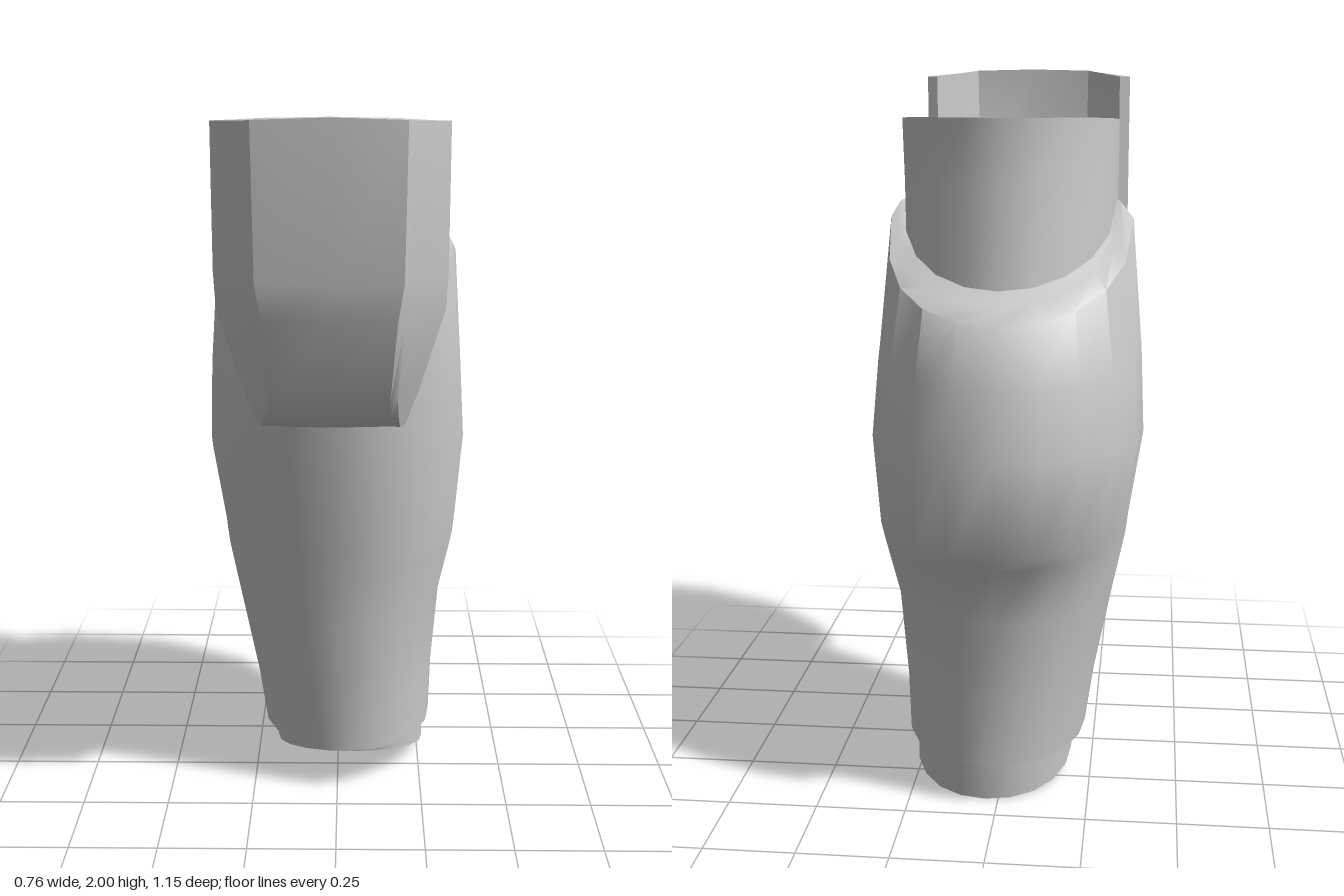
import * as THREE from 'three';
import { toCreasedNormals } from 'three/addons/utils/BufferGeometryUtils.js';

const material = new THREE.MeshStandardMaterial({ color: 0xcccccc, side: THREE.DoubleSide });

// Skins a stack of closed rings (bottom to top); thin folded rings can be capped
function loft(name, rings, capped = false) {
  const n = rings[0].length;
  const index = [];
  const quad = (a, b, c, d) => index.push(a, b, c, a, c, d);
  for (let i = 0; i < rings.length - 1; i++) {
    for (let j = 0; j < n; j++) {
      const k = (j + 1) % n;
      quad(i * n + j, i * n + k, (i + 1) * n + k, (i + 1) * n + j);
    }
  }
  if (capped) {
    const top = (rings.length - 1) * n;
    for (let k = 0; k < n / 2 - 1; k++) {
      quad(top + k, top + k + 1, top + n - 2 - k, top + n - 1 - k);
      quad(n - 1 - k, n - 2 - k, k + 1, k);
    }
  }
  const geometry = new THREE.BufferGeometry();
  geometry.setAttribute('position', new THREE.Float32BufferAttribute(rings.flat(2), 3));
  geometry.setIndex(index);
  const mesh = new THREE.Mesh(toCreasedNormals(geometry, 0.85), material);
  mesh.name = name;
  return mesh;
}

// Egg-shaped ring: its height runs from yFront to yBack, widest at zMid
function eggRing([yFront, yBack, x0, x1, zFront, zBack, zMid], blend, sides = 20) {
  return Array.from({ length: sides }, (_, j) => {
    const a = (j / sides) * Math.PI * 2;
    const c = Math.cos(a);
    const depth = c > 0 ? zFront - zMid : zMid - zBack;
    return [
      (x0 + x1) / 2 + ((x1 - x0) / 2) * Math.sin(a),
      yFront + (yBack - yFront) * blend(c),
      zMid + depth * c,
    ];
  });
}

// Folded section of the knee plate: outer skin left to right, inner skin back
function plateRing([y, edge, zEdge, half, zFront], yDrop) {
  const skin = (inset) => {
    const e = edge - inset, w = half - inset * 0.6, f = zFront - inset;
    const z = zEdge - inset * 0.3;
    return [
      [-e, z], [-w - 0.02, f - (f - z) * 0.22], [-w, f - 0.015], [0, f],
      [w, f - 0.015], [w + 0.02, f - (f - z) * 0.22], [e, z],
    ];
  };
  return [...skin(0), ...skin(0.03).reverse()].map(([x, z]) => [
    x - 0.015,
    y - yDrop * Math.min(1, Math.max(0, (Math.abs(x) - 0.15) / 0.12)),
    z,
  ]);
}

export function createModel() {
  const group = new THREE.Group();
  group.name = 'shinArmour';

  // Outer shell with swelling calf; its rim dips only at the back
  const shell = [
    [0.12, 0.12, -0.2, 0.27, 0.14, -0.43, -0.14],
    [0.13, 0.12, -0.23, 0.285, 0.17, -0.45, -0.14],
    [0.3, 0.3, -0.255, 0.29, 0.19, -0.465, -0.14],
    [0.55, 0.55, -0.305, 0.31, 0.22, -0.49, -0.14],
    [0.72, 0.72, -0.34, 0.35, 0.25, -0.535, -0.15],
    [0.78, 0.76, -0.347, 0.357, 0.262, -0.575, -0.16],
    [1.02, 1.02, -0.385, 0.377, 0.31, -0.575, -0.16],
    [1.25, 1.2, -0.375, 0.362, 0.35, -0.535, -0.13],
    [1.6, 1.36, -0.345, 0.335, 0.395, -0.49, -0.06],
    [1.64, 1.4, -0.31, 0.315, 0.365, -0.42, -0.02],
    [1.65, 1.45, -0.29, 0.295, 0.34, -0.35, 0],
  ];
  group.add(loft('shinShell', shell.map((r) => eggRing(r, (c) => Math.max(0, -c) ** 0.7))));

  // Inner sleeve, open at the slanted ankle and at the knee cuff
  const sleeve = [
    [0.11, 0, -0.19, 0.265, 0.13, -0.41, -0.13],
    [0.13, 0.12, -0.195, 0.265, 0.14, -0.43, -0.13],
    [0.7, 0.7, -0.26, 0.275, 0.2, -0.44, -0.1],
    [1.4, 1.4, -0.29, 0.295, 0.31, -0.375, -0.02],
    [1.7, 1.7, -0.3, 0.305, 0.355, -0.325, 0.02],
    [1.84, 1.88, -0.3, 0.31, 0.355, -0.32, 0.02],
  ];
  group.add(loft('innerSleeve', sleeve.map((r) => eggRing(r, (c) => 1 - ((1 + c) / 2) ** 1.6))));

  // Knee plate standing off the front: [y, edge, zEdge, half front width, zFront]
  const plate = [
    [1.18, 0.2, 0.31, 0.165, 0.35],
    [1.21, 0.21, 0.315, 0.16, 0.4],
    [1.28, 0.235, 0.325, 0.155, 0.48],
    [1.5, 0.3, 0.35, 0.17, 0.555],
    [1.6, 0.305, 0.355, 0.185, 0.577],
    [2.0, 0.305, 0.355, 0.19, 0.577],
  ];
  group.add(loft('kneePlate', plate.map((r, i) => plateRing(r, i === 5 ? 0.02 : 0)), true));

  return group;
}
